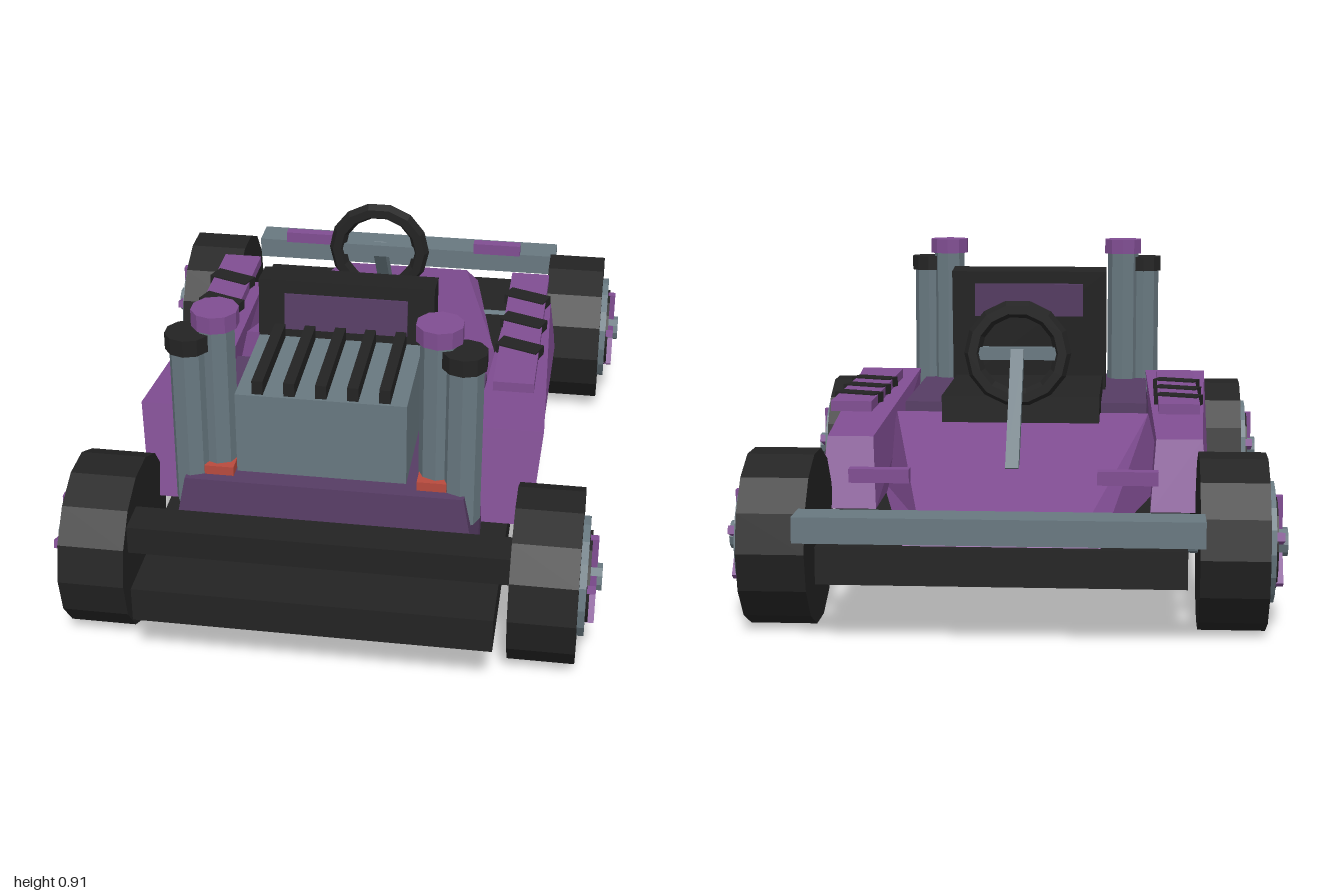
import * as THREE from 'three';

const mat = (name, color) => {
  const m = new THREE.MeshStandardMaterial({ color, flatShading: true });
  m.name = name;
  return m;
};

export function createModel() {
  const black = mat('black', 0x232323);
  const steel = mat('steel', 0x687880);
  const purple = mat('purple', 0x804d92);
  const plum = mat('plum', 0x563c64);
  const red = mat('red', 0xb84a3e);
  const kart = new THREE.Group();
  kart.name = 'kart';

  const add = (name, geo, material, x = 0, y = 0, z = 0, parent = kart) => {
    const m = new THREE.Mesh(geo, material);
    m.name = name;
    m.position.set(x, y, z);
    parent.add(m);
    return m;
  };
  // box from its limits on each axis
  const box = (name, material, [x0, x1], [y0, y1], [z0, z1], parent) =>
    add(name, new THREE.BoxGeometry(x1 - x0, y1 - y0, z1 - z0), material,
      (x0 + x1) / 2, (y0 + y1) / 2, (z0 + z1) / 2, parent);
  // six-sided block; each end gives [xMin, xMax, y, z] for its bottom and top edge
  const block = (name, material, back, front) => {
    const g = new THREE.BoxGeometry(1, 1, 1);
    const p = g.attributes.position;
    for (let i = 0; i < p.count; i++) {
      const end = p.getZ(i) > 0 ? front : back;
      const [x0, x1, y, z] = p.getY(i) > 0 ? end.top : end.bottom;
      p.setXYZ(i, p.getX(i) > 0 ? x1 : x0, y, z);
    }
    g.computeVertexNormals();
    return add(name, g, material);
  };
  // cylinder lying along x
  const disc = (r, len, sides) =>
    new THREE.CylinderGeometry(r, r, len, sides).rotateZ(Math.PI / 2);

  // floor, bumpers and bodywork
  box('floorPan', black, [-0.46, 0.46], [0.16, 0.255], [-0.905, 1]);
  box('bumperBar', black, [-0.5, 0.5], [0.295, 0.372], [0.8, 0.9]);
  box('wing', steel, [-0.5, 0.5], [0.285, 0.35], [-1, -0.9]);
  block('nose', purple,
    { bottom: [-0.245, 0.245, 0.255, -0.88], top: [-0.21, 0.21, 0.31, -0.84] },
    { bottom: [-0.41, 0.41, 0.255, -0.03], top: [-0.365, 0.365, 0.46, -0.03] });
  block('engineBay', plum,
    { bottom: [-0.37, 0.37, 0.255, 0.13], top: [-0.36, 0.36, 0.465, 0.13] },
    { bottom: [-0.4, 0.4, 0.255, 0.81], top: [-0.36, 0.36, 0.465, 0.79] });

  // seat
  box('seatBase', black, [-0.225, 0.225], [0.4, 0.52], [-0.12, 0.33]);
  const seatBack = new THREE.Group();
  seatBack.name = 'seatBack';
  seatBack.position.set(0, 0.66, 0.362);
  seatBack.rotation.x = -0.09;
  kart.add(seatBack);
  box('backrest', black, [-0.235, 0.235], [-0.18, 0.187], [-0.046, 0.046], seatBack);
  box('backrestPanel', plum, [-0.165, 0.165], [0.05, 0.15], [-0.056, 0.052], seatBack);

  // engine with cooling fins
  box('engine', steel, [-0.216, 0.216], [0.512, 0.735], [0.487, 0.808]);
  for (let i = -2; i <= 2; i++) {
    const x = i * 0.08;
    box('engineFin', black, [x - 0.014, x + 0.014], [0.73, 0.772], [0.49, 0.8]);
  }

  // steering
  const steering = new THREE.TorusGeometry(0.125, 0.024, 6, 14);
  add('steeringWheel', steering, black, 0, 0.658, -0.235);
  box('steeringBar', steel, [-0.115, 0.115], [0.64, 0.675], [-0.247, -0.223]);
  const column = add('steeringColumn', new THREE.BoxGeometry(0.036, 0.036, 0.37), steel, 0, 0.515, -0.357);
  column.rotation.x = -0.91;

  for (const s of [-1, 1]) {
    const span = (a, b) => (s > 0 ? [a, b] : [-b, -a]);
    const edge = (a, b, y, z) => [...span(a, b), y, z];

    // side pod, its raised plate and slanted vents
    block('sidePod', purple,
      { bottom: edge(0.37, 0.528, 0.258, -0.455), top: edge(0.385, 0.51, 0.445, -0.385) },
      { bottom: edge(0.38, 0.52, 0.258, 0.57), top: edge(0.358, 0.543, 0.515, 0.51) });
    box('podPlate', purple, span(0.39, 0.502), [0.512, 0.54], [-0.375, 0.305]);
    for (const z of [-0.22, -0.065, 0.09]) {
      const vent = add('podVent', new THREE.BoxGeometry(0.125, 0.028, 0.055), black, s * 0.447, 0.53, z);
      vent.rotation.y = -0.36;
    }
    box('canard', purple, span(0.235, 0.387), [0.4, 0.435], [-0.815, -0.782]);

    // exhaust stacks with caps and clamps
    const stack = (name, x, z, y0, y1, capMat, capR) => {
      add(name, new THREE.CylinderGeometry(0.049, 0.049, y1 - y0, 8), steel, s * x, (y0 + y1) / 2, z);
      add(name + 'Cap', new THREE.CylinderGeometry(capR, capR, 0.045, 10), capMat, s * x, y1 + 0.02, z);
    };
    stack('innerStack', 0.283, 0.7, 0.42, 0.875, purple, 0.061);
    stack('outerStack', 0.349, 0.727, 0.374, 0.818, black, 0.058);
    box('tailLight', red, span(0.237, 0.313), [0.45, 0.49], [0.71, 0.762]);

    // wheels and axles
    for (const z of [-0.655, 0.735]) {
      const wheel = new THREE.Group();
      wheel.name = 'wheel';
      wheel.position.set(0, 0.2285, z);
      kart.add(wheel);
      const put = (name, geo, m, x) => add(name, geo, m, s * x, 0, 0, wheel);
      put('axle', disc(0.033, 0.5, 8), steel, 0.25);
      put('tyre', disc(0.2285, 0.173, 14), black, 0.5775);
      put('rim', disc(0.157, 0.025, 16), steel, 0.67);
      put('rimCentre', disc(0.12, 0.03, 16), black, 0.675);
      for (let i = 0; i < 5; i++) {
        const spoke = put('spoke', new THREE.BoxGeometry(0.022, 0.12, 0.022).translate(0, 0.06, 0), purple, 0.695);
        spoke.rotation.x = (i * Math.PI * 2) / 5;
      }
      put('hub', disc(0.037, 0.05, 10), steel, 0.695);
    }
  }
  return kart;
}
